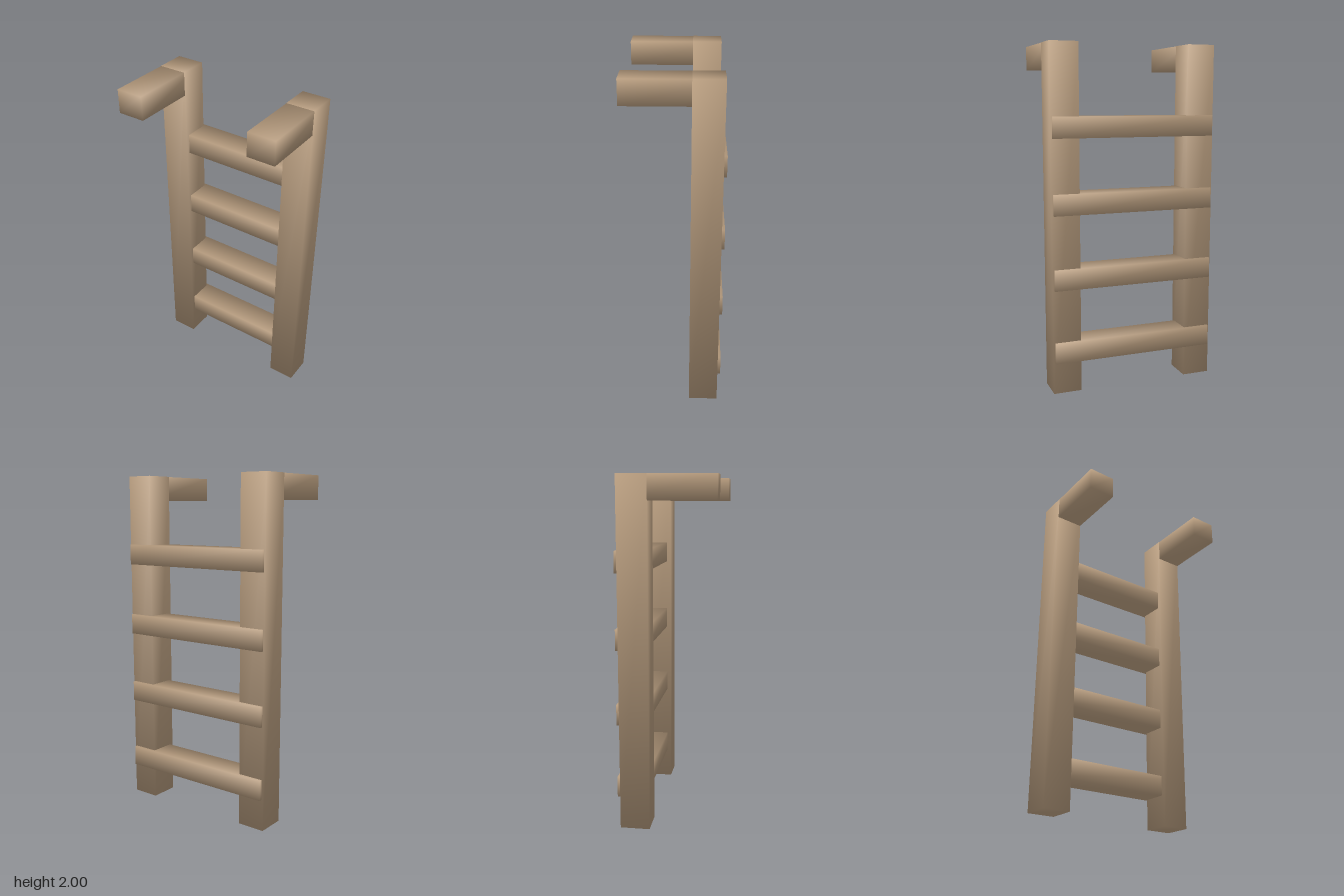
import * as THREE from 'three';

const wood = new THREE.MeshStandardMaterial({ color: 0xb89d7f });
wood.name = 'wood';

// Box between two corners, with soft corner normals that round its shading
function softBeam(name, [x0, y0, z0], [x1, y1, z1]) {
  const geometry = new THREE.BoxGeometry(x1 - x0, y1 - y0, z1 - z0);
  const position = geometry.attributes.position;
  const normal = geometry.attributes.normal;
  const corner = new THREE.Vector3();
  for (let i = 0; i < position.count; i++) {
    corner.fromBufferAttribute(position, i);
    corner.set(Math.sign(corner.x), Math.sign(corner.y), Math.sign(corner.z)).normalize();
    normal.setXYZ(i, corner.x, corner.y, corner.z);
  }
  const mesh = new THREE.Mesh(geometry, wood);
  mesh.name = name;
  mesh.position.set((x0 + x1) / 2, (y0 + y1) / 2, (z0 + z1) / 2);
  return mesh;
}

export function createModel() {
  const ladder = new THREE.Group();
  ladder.name = 'ladder';

  // Upright posts, each with a top arm set into it and reaching forward
  for (const [side, x] of [['left', 0.413], ['right', -0.413]]) {
    const w = 0.0825;
    const inset = 0.001;
    ladder.add(softBeam(`${side}Post`, [x - w, 0, -0.263], [x + w, 2, -0.093]));
    ladder.add(softBeam(`${side}Arm`,
      [x - w + inset, 1.86, -0.23], [x + w - inset, 2 - inset, 0.279]));
  }

  // Rungs pass through the posts and stand slightly proud at the back
  for (let i = 0; i < 4; i++) {
    const y = 0.245 + i * 0.43;
    ladder.add(softBeam(`rung${i + 1}`, [-0.485, y - 0.06, -0.28], [0.485, y + 0.06, -0.117]));
  }
  return ladder;
}
